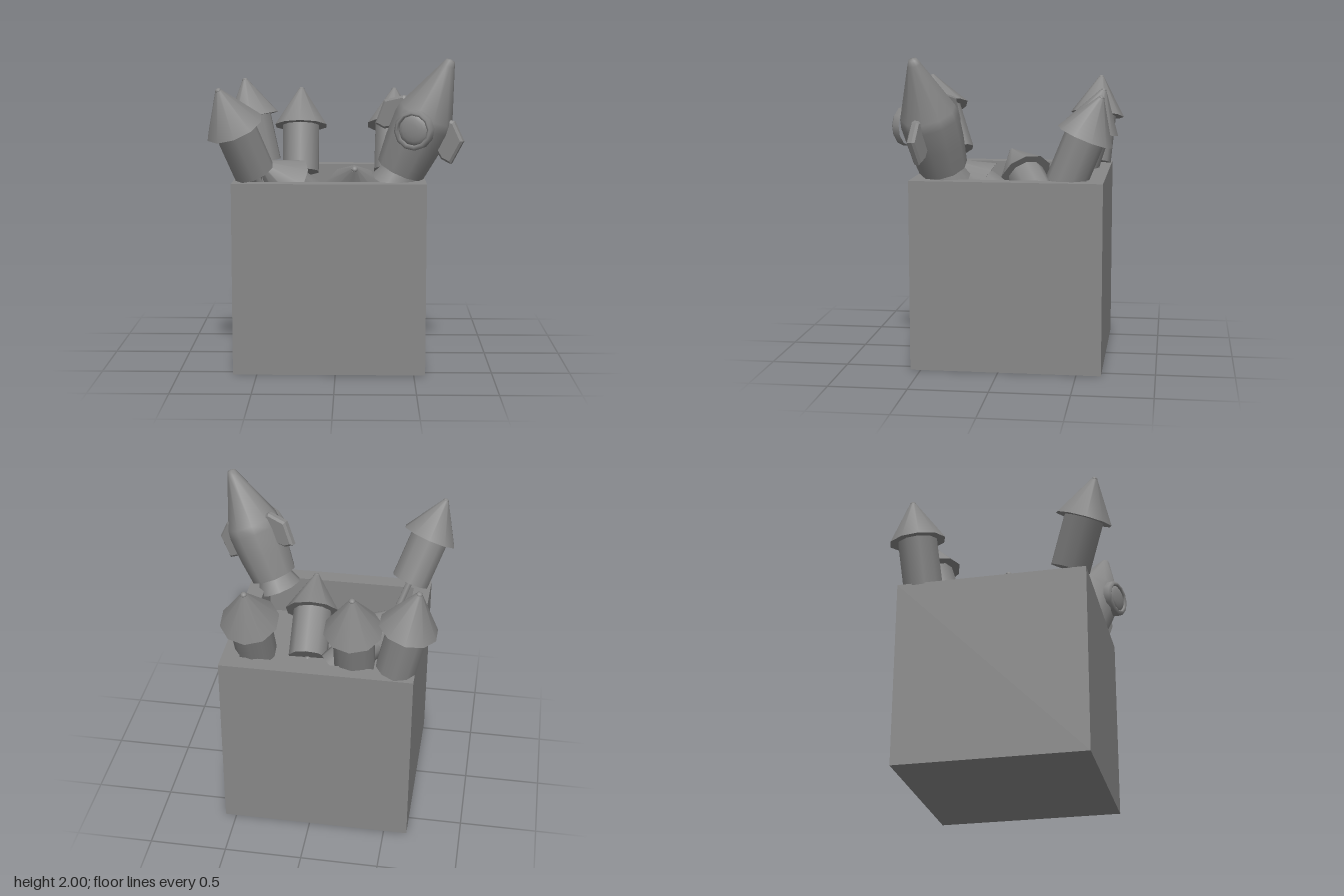
import * as THREE from 'three';

const material = new THREE.MeshStandardMaterial({ color: 0x878787 });
const V = (x, y, z) => new THREE.Vector3(x, y, z);

function part(name, geometry, x = 0, y = 0, z = 0) {
  const mesh = new THREE.Mesh(geometry, material);
  mesh.name = name;
  mesh.position.set(x, y, z);
  return mesh;
}

// Closed polygon extruded along z with bevelled edges, centred on z = 0
function slab(points, depth, bevel) {
  const shape = new THREE.Shape(points.map(([x, y]) => new THREE.Vector2(x, y)));
  const geometry = new THREE.ExtrudeGeometry(shape, {
    depth, bevelSize: bevel, bevelThickness: bevel, bevelOffset: -bevel, bevelSegments: 1,
  });
  return geometry.translate(0, 0, -depth / 2);
}

// Open box with thick walls and a raised floor
function createCrate() {
  const crate = new THREE.Group();
  crate.name = 'crate';
  const rect = (Type, x0, x1, y0, y1) => new Type([
    new THREE.Vector2(x0, y0), new THREE.Vector2(x1, y0), new THREE.Vector2(x1, y1), new THREE.Vector2(x0, y1)]);
  const outline = rect(THREE.Shape, -0.652, 0.573, -0.567, 0.658);
  outline.holes.push(rect(THREE.Path, -0.54, 0.46, -0.456, 0.547));
  const walls = new THREE.ExtrudeGeometry(outline, { depth: 1.225, bevelEnabled: false }).rotateX(-Math.PI / 2);
  crate.add(part('crateWalls', walls));
  crate.add(part('crateFloor', new THREE.BoxGeometry(1.0, 0.95, 1.003), -0.04, 0.475, -0.0455));
  return crate;
}

// Small stick rocket; the origin is the centre of the nose cone's base
function createStickRocket(name, base, tip) {
  const rocket = new THREE.Group();
  rocket.name = name;
  rocket.add(part('noseCone', new THREE.CylinderGeometry(0.02, 0.187, 0.265, 10), 0, 0.1325, 0));
  rocket.add(part('noseTip', new THREE.SphereGeometry(0.02, 10, 4, 0, Math.PI * 2, 0, Math.PI / 2).scale(1, 0.75, 1), 0, 0.265, 0));
  rocket.add(part('tube', new THREE.CylinderGeometry(0.131, 0.131, 0.33, 10), 0, -0.163, 0));
  rocket.add(part('stick', new THREE.CylinderGeometry(0.024, 0.024, 0.42, 6), 0, -0.52, 0));
  rocket.position.copy(base);
  rocket.quaternion.setFromUnitVectors(V(0, 1, 0), tip.clone().sub(base).normalize());
  return rocket;
}

// Large finned rocket; the origin is the centre of the hull's base
function createSpaceRocket() {
  const rocket = new THREE.Group();
  rocket.name = 'spaceRocket';
  const profile = (points) => points.map(([r, y]) => new THREE.Vector2(r, y));
  const hull = [[0.157, 0], [0.178, 0.18], [0.186, 0.34], [0.178, 0.4], [0.042, 0.735], [0.027, 0.768], [0, 0.775]];
  rocket.add(part('hull', new THREE.LatheGeometry(profile(hull), 10)));
  rocket.add(part('hullBase', new THREE.CircleGeometry(0.157, 10).rotateX(Math.PI / 2).rotateY(Math.PI / 10)));
  rocket.add(part('nozzle', new THREE.CylinderGeometry(0.11, 0.155, 0.1, 10), 0, -0.05, 0));

  // Porthole: thin rim with a shallow domed pane
  const porthole = new THREE.Group();
  porthole.name = 'porthole';
  const rim = [[0.125, 0], [0.125, 0.045], [0.108, 0.06], [0.094, 0.052], [0.094, 0]];
  porthole.add(part('portholeRim', new THREE.LatheGeometry(profile(rim), 12).rotateX(Math.PI / 2)));
  porthole.add(part('portholePane', new THREE.SphereGeometry(0.096, 12, 4, 0, Math.PI * 2, 0, Math.PI / 2)
    .scale(1, 0.3, 1).rotateX(Math.PI / 2), 0, 0, 0.035));
  porthole.position.set(0.02, 0.31, 0.15);
  rocket.add(porthole);

  // Swept fins on opposite sides
  const fin = [[0.1, 0.26], [0.21, 0.185], [0.28, 0.185], [0.29, 0.35], [0.185, 0.435], [0.1, 0.42]];
  for (const [name, turn] of [['leftFin', 0], ['rightFin', Math.PI]]) {
    const mesh = part(name, slab(fin, 0.03, 0.014), 0, 0, -0.015);
    mesh.rotation.y = turn;
    rocket.add(mesh);
  }

  // Lean the hull while the porthole looks forward
  const up = V(0.31, 0.715, 0.135).normalize();
  const front = V(-0.36, 0, 0.93);
  front.addScaledVector(up, -front.dot(up)).normalize();
  const side = up.clone().cross(front);
  rocket.quaternion.setFromRotationMatrix(new THREE.Matrix4().makeBasis(side, up, front));
  rocket.position.set(0.414, 1.297, 0.37);
  return rocket;
}

export function createModel() {
  const model = new THREE.Group();
  model.name = 'crateOfRockets';
  model.add(createCrate(), createSpaceRocket());
  // Each entry: name, nose base centre, point the nose aims at
  const rockets = [
    ['frontStickRocket', V(-0.625, 1.578, 0.555), V(-0.725, 1.838, 0.655)],
    ['backCornerStickRocket', V(-0.60, 1.558, -0.55), V(-0.66, 1.83, -0.575)],
    ['backMiddleStickRocket', V(-0.26, 1.497, -0.533), V(-0.26, 1.757, -0.613)],
    ['backSideStickRocket', V(0.388, 1.5, -0.532), V(0.396, 1.757, -0.637)],
    ['lyingStickRocketA', V(-0.325, 1.15, -0.075), V(-0.52, 1.31, 0.05)],
    ['lyingStickRocketB', V(0.113, 1.14, 0.18), V(0.121, 1.31, 0.405)],
  ];
  for (const [name, base, tip] of rockets) model.add(createStickRocket(name, base, tip));
  return model;
}
